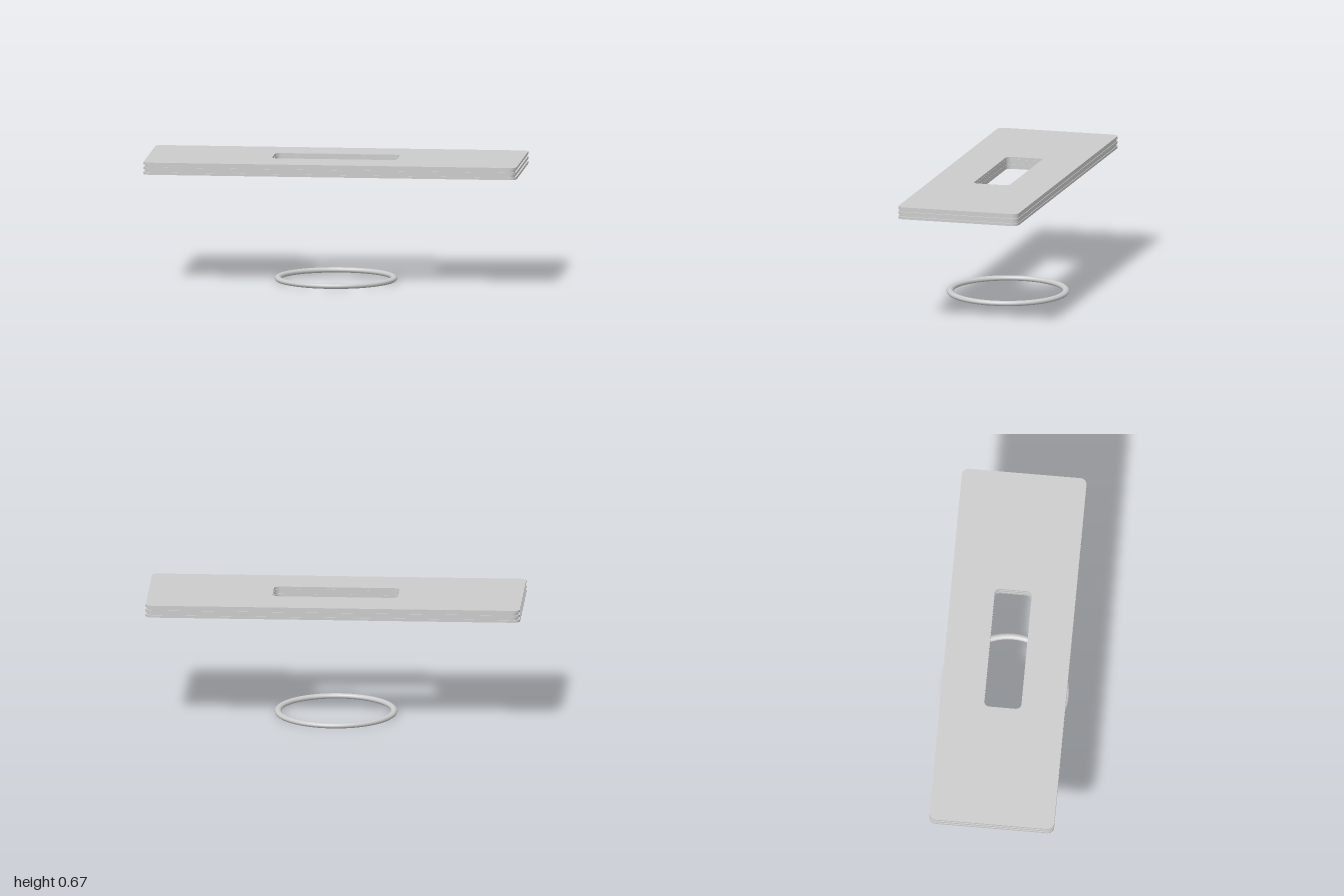
import * as THREE from 'three';

const material = new THREE.MeshStandardMaterial({ color: 0xcccccc });

// Traces a rounded rectangle centred on the origin
function roundedRect(path, halfW, halfH, r) {
  path.moveTo(halfW, -halfH + r);
  path.absarc(halfW - r, halfH - r, r, 0, Math.PI / 2);
  path.absarc(-halfW + r, halfH - r, r, Math.PI / 2, Math.PI);
  path.absarc(-halfW + r, -halfH + r, r, Math.PI, Math.PI * 1.5);
  path.absarc(halfW - r, -halfH + r, r, Math.PI * 1.5, Math.PI * 2);
  path.closePath();
  return path;
}

export function createModel() {
  const model = new THREE.Group();
  model.name = 'slottedPanelAndRing';

  // Stack of five slotted plates, the second and fourth slightly smaller
  const panel = new THREE.Group();
  panel.name = 'layeredPanel';
  const thickness = 0.0131;
  const outline = roundedRect(new THREE.Shape(), 1, 0.3335, 0.035);
  outline.holes.push(roundedRect(new THREE.Path(), 0.335, 0.1, 0.03));
  const plateGeometry = new THREE.ExtrudeGeometry(outline, {
    depth: thickness, bevelEnabled: false, curveSegments: 8,
  });
  plateGeometry.rotateX(-Math.PI / 2);
  for (let i = 0; i < 5; i++) {
    const inset = i % 2 === 1;
    const plate = new THREE.Mesh(plateGeometry, material);
    plate.name = inset ? 'insetPlate' : 'plate';
    plate.position.y = 0.6035 + i * thickness;
    if (inset) plate.scale.set(0.99, 1, 0.99);
    panel.add(plate);
  }
  model.add(panel);

  // Slightly flattened ring lying on the ground below the slot
  const tube = 0.018;
  const height = 0.0285;
  const ringGeometry = new THREE.TorusGeometry(0.31, tube, 12, 64);
  ringGeometry.rotateX(-Math.PI / 2);
  ringGeometry.scale(1, height / (2 * tube), 1);
  const ring = new THREE.Mesh(ringGeometry, material);
  ring.name = 'ring';
  ring.position.y = height / 2;
  model.add(ring);

  return model;
}
